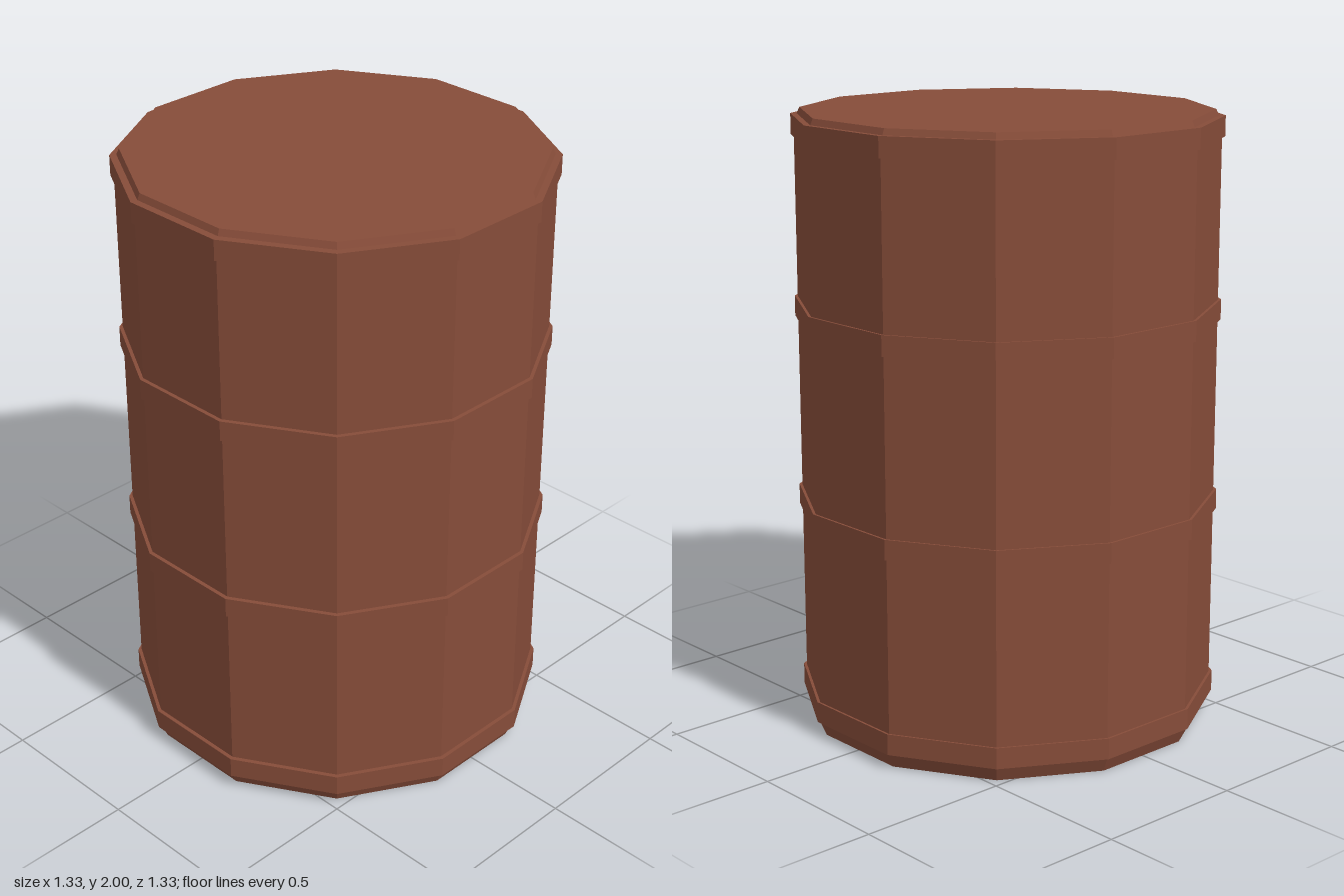
import * as THREE from 'three';

const SIDES = 12;
const TO_CORNER = 1 / Math.cos(Math.PI / SIDES); // flat-to-centre distance -> corner radius

// Faceted solid of revolution with flat sides facing the axes; points are [flat distance, y], bottom to top
function facetedLathe(points, material, name) {
  const profile = points.map(([r, y]) => new THREE.Vector2(r * TO_CORNER, y));
  const geometry = new THREE.LatheGeometry(profile, SIDES, Math.PI / SIDES).toNonIndexed();
  geometry.computeVertexNormals(); // one normal per facet
  const mesh = new THREE.Mesh(geometry, material);
  mesh.name = name;
  return mesh;
}

export function createModel() {
  const model = new THREE.Group();
  model.name = 'barrel';

  const rust = new THREE.MeshStandardMaterial({ color: 0x864c39 });
  rust.name = 'rust brown';
  rust.flatShading = true;

  // Closed drum with chamfered ends
  const body = facetedLathe(
    [[0, 0], [0.638, 0], [0.657, 0.045], [0.657, 1.955], [0.638, 2], [0, 2]],
    rust, 'drumBody');
  body.position.set(-0.003, 0, -0.003);
  model.add(body);

  // Four raised hoops around the drum
  const hoops = [
    ['bottomHoop', 0.048, 0.117],
    ['lowerHoop', 0.687, 0.753],
    ['upperHoop', 1.324, 1.39],
    ['topHoop', 1.914, 1.98],
  ];
  for (const [name, y0, y1] of hoops) {
    model.add(facetedLathe(
      [[0.63, y0], [0.667, y0], [0.667, y1], [0.63, y1]], rust, name));
  }

  return model;
}
